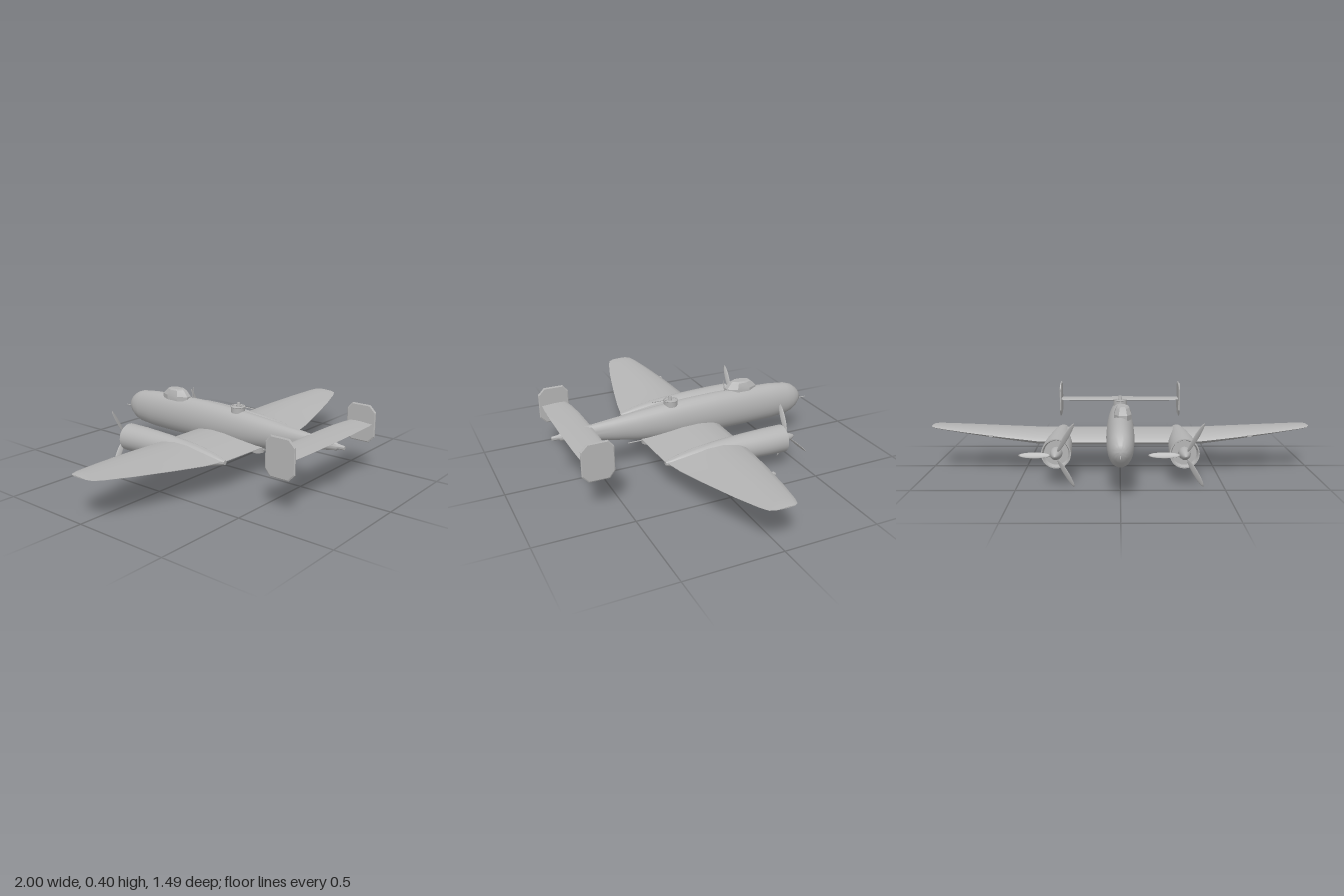
import * as THREE from 'three';
import { toCreasedNormals } from 'three/addons/utils/BufferGeometryUtils.js';

const skin = new THREE.MeshStandardMaterial({ color: 0xb4b4b4 });
skin.name = 'airframe grey';

const add = (parent, name, geometry, x = 0, y = 0, z = 0) => {
  const mesh = new THREE.Mesh(geometry, skin);
  mesh.name = name;
  mesh.position.set(x, y, z);
  parent.add(mesh);
  return mesh;
};

// Skins a row of equal-length cross-sections and closes both ends
function loft(rings, crease = 0.7) {
  const n = rings[0].length;
  const middle = (ring) => [0, 1, 2].map((k) => ring.reduce((s, p) => s + p[k], 0) / n);
  const all = [
    rings[0].map(() => middle(rings[0])),
    ...rings,
    rings[0].map(() => middle(rings[rings.length - 1])),
  ];
  const index = [];
  for (let i = 0; i < all.length - 1; i++) {
    for (let j = 0; j < n; j++) {
      const a = i * n + j, d = i * n + ((j + 1) % n), b = a + n, c = d + n;
      if (i > 0) index.push(a, d, b);
      if (i < all.length - 2) index.push(b, d, c);
      else if (i === 0) index.push(b, d, c);
    }
  }
  const geometry = new THREE.BufferGeometry();
  geometry.setAttribute('position', new THREE.Float32BufferAttribute(all.flat(2), 3));
  geometry.setIndex(index);
  return toCreasedNormals(geometry, crease);
}

// Oval section: [z, half width, bottom, top]
const oval = ([z, w, lo, hi]) => Array.from({ length: 28 }, (_, i) => {
  const t = (i / 28) * Math.PI * 2;
  return [w * Math.cos(t), (lo + hi) / 2 + ((hi - lo) / 2) * Math.sin(t), z];
});

// Aerofoil section: [x, leading z, trailing z, y, rise, drop]
const foilTop = [[0, 0], [0.03, 0.4], [0.12, 0.78], [0.3, 1], [0.5, 0.9], [0.75, 0.5], [1, 0.04]];
const foil = ([x, le, te, y, up, down]) => [
  ...foilTop.map(([c, h]) => [x, y + h * up, le + c * (te - le)]),
  ...foilTop.slice(1).reverse().map(([c, h]) => [x, y - h * down, le + c * (te - le)]),
];
const fullSpan = (half) => [
  ...half.slice(1).reverse().map(([x, ...rest]) => [-x, ...rest]), ...half,
].map(foil);

// Gun barrel running along z
function barrel(parent, name, x, y, z0, z1, r = 0.003) {
  const g = new THREE.CylinderGeometry(r, r, Math.abs(z1 - z0), 8).rotateX(Math.PI / 2);
  add(parent, name, g, x, y, (z0 + z1) / 2);
}

function engine(side) {
  const group = new THREE.Group();
  group.name = side > 0 ? 'leftEngine' : 'rightEngine';
  group.position.x = 0.312 * side;
  // Nacelle with a recessed intake, tapering behind the wing
  add(group, 'nacelle', loft([
    [-0.375, 0.06, 0.098, 0.218], [-0.402, 0.067, 0.091, 0.225], [-0.402, 0.073, 0.085, 0.231],
    [-0.3, 0.072, 0.087, 0.231], [-0.2, 0.067, 0.09, 0.229], [-0.1, 0.058, 0.095, 0.226],
    [0, 0.05, 0.1, 0.22], [0.1, 0.041, 0.112, 0.21], [0.18, 0.032, 0.125, 0.195],
    [0.24, 0.022, 0.142, 0.18], [0.265, 0.012, 0.15, 0.172],
  ].map(oval)));
  // Spinner
  const profile = [[0, 0.1], [0.008, 0.094], [0.018, 0.075], [0.027, 0.045], [0.03, 0.02], [0.03, 0]]
    .reverse().map(([r, y]) => new THREE.Vector2(r, y));
  add(group, 'spinner', new THREE.LatheGeometry(profile, 20).rotateX(-Math.PI / 2), 0, 0.158, -0.376);
  // Three pitched blades
  for (let i = 0; i < 3; i++) {
    const blade = new THREE.SphereGeometry(1, 12, 8).scale(0.08, 0.015, 0.003)
      .rotateX(0.5).translate(0.1, 0, 0).rotateZ((i * Math.PI * 2) / 3);
    add(group, 'propellerBlade', blade, 0, 0.158, -0.435);
  }
  return group;
}

export function createModel() {
  const plane = new THREE.Group();
  plane.name = 'aircraft';

  // Fuselage, nose towards -z
  add(plane, 'fuselage', loft([
    [-0.697, 0.008, 0.222, 0.24], [-0.69, 0.026, 0.2, 0.262], [-0.67, 0.042, 0.175, 0.286],
    [-0.64, 0.054, 0.152, 0.308], [-0.6, 0.061, 0.138, 0.322], [-0.5, 0.066, 0.129, 0.333],
    [-0.35, 0.069, 0.127, 0.339], [-0.15, 0.069, 0.127, 0.341], [0, 0.066, 0.13, 0.337],
    [0.15, 0.06, 0.141, 0.327], [0.3, 0.051, 0.162, 0.314], [0.42, 0.04, 0.185, 0.303],
    [0.54, 0.027, 0.209, 0.291], [0.65, 0.017, 0.23, 0.283], [0.7, 0.013, 0.238, 0.276],
    [0.705, 0.009, 0.244, 0.272], [0.742, 0.006, 0.247, 0.268],
  ].map(oval)));

  // Main wing: flat centre, rising outer panels, rounded tips
  add(plane, 'wing', loft(fullSpan([
    [0, -0.172, 0.275, 0.165, 0.046, 0.028], [0.3, -0.171, 0.265, 0.166, 0.044, 0.028],
    [0.43, -0.163, 0.24, 0.171, 0.041, 0.028], [0.6, -0.142, 0.2, 0.186, 0.033, 0.022],
    [0.8, -0.107, 0.148, 0.205, 0.021, 0.014], [0.94, -0.075, 0.104, 0.219, 0.012, 0.008],
    [0.985, -0.058, 0.083, 0.224, 0.008, 0.006], [1, -0.035, 0.055, 0.227, 0.003, 0.003],
  ])));

  // Tailplane
  add(plane, 'tailplane', loft(fullSpan([
    [0, 0.532, 0.7, 0.28, 0.009, 0.008], [0.2, 0.536, 0.698, 0.28, 0.008, 0.007],
    [0.3, 0.545, 0.695, 0.28, 0.007, 0.006], [0.36, 0.556, 0.69, 0.28, 0.006, 0.005],
  ])));

  // Eight-sided end fins, sections in (z, y)
  const finOutline = [[0.542, 0.215], [0.542, 0.345], [0.57, 0.379], [0.672, 0.379],
    [0.706, 0.345], [0.706, 0.215], [0.672, 0.18], [0.57, 0.18]];
  for (const side of [-1, 1]) {
    const section = (x, s) => finOutline.map(([z, y]) => [x, 0.28 + (y - 0.28) * s, 0.624 + (z - 0.624) * s]);
    const fin = loft([section(-0.005, 0.94), section(-0.002, 1), section(0.002, 1), section(0.005, 0.94)], 0.3);
    add(plane, side > 0 ? 'leftFin' : 'rightFin', fin, 0.36 * side);
    plane.add(engine(side));
    // Small fitting on the leading edge
    add(plane, 'wingFitting', new THREE.BoxGeometry(0.02, 0.008, 0.02), 0.67 * side, 0.192, -0.129);
  }

  // Cockpit canopy, set slightly off centre
  const half = [[0.015, -0.238], [0.042, -0.29], [0.042, -0.36], [0.02, -0.412]];
  const outline = [...half, ...half.slice().reverse().map(([x, z]) => [-x, z])];
  const level = (y, s, l) => outline.map(([x, z]) => [x * s, y, -0.32 + (z + 0.32) * l]);
  add(plane, 'canopy', loft([level(0.32, 1, 1), level(0.345, 1, 1), level(0.375, 0.75, 0.68),
    level(0.382, 0.55, 0.55)], 0.35), -0.012);

  // Aerial mast
  const mast = add(plane, 'aerialMast', new THREE.CylinderGeometry(0.002, 0.003, 0.07, 8), 0, 0.367, -0.219);
  mast.rotation.x = 0.16;

  // Upper gun position
  add(plane, 'upperTurret', new THREE.CylinderGeometry(0.037, 0.037, 0.03, 24), 0, 0.332, 0.096);
  add(plane, 'turretRing', new THREE.TorusGeometry(0.035, 0.004, 8, 28).rotateX(Math.PI / 2), 0, 0.348, 0.096);
  add(plane, 'gunMount', new THREE.CylinderGeometry(0.008, 0.012, 0.025, 10), 0, 0.357, 0.1);
  barrel(plane, 'upperGun', 0, 0.352, 0.08, 0.2);

  // Lower gun position, nose gun and tail gun
  add(plane, 'lowerTurret', new THREE.CylinderGeometry(0.038, 0.034, 0.035, 24), 0, 0.147, 0.23);
  barrel(plane, 'lowerGun', 0, 0.146, 0.24, 0.34);
  barrel(plane, 'noseGun', 0, 0.212, -0.68, -0.745);

  return plane;
}
